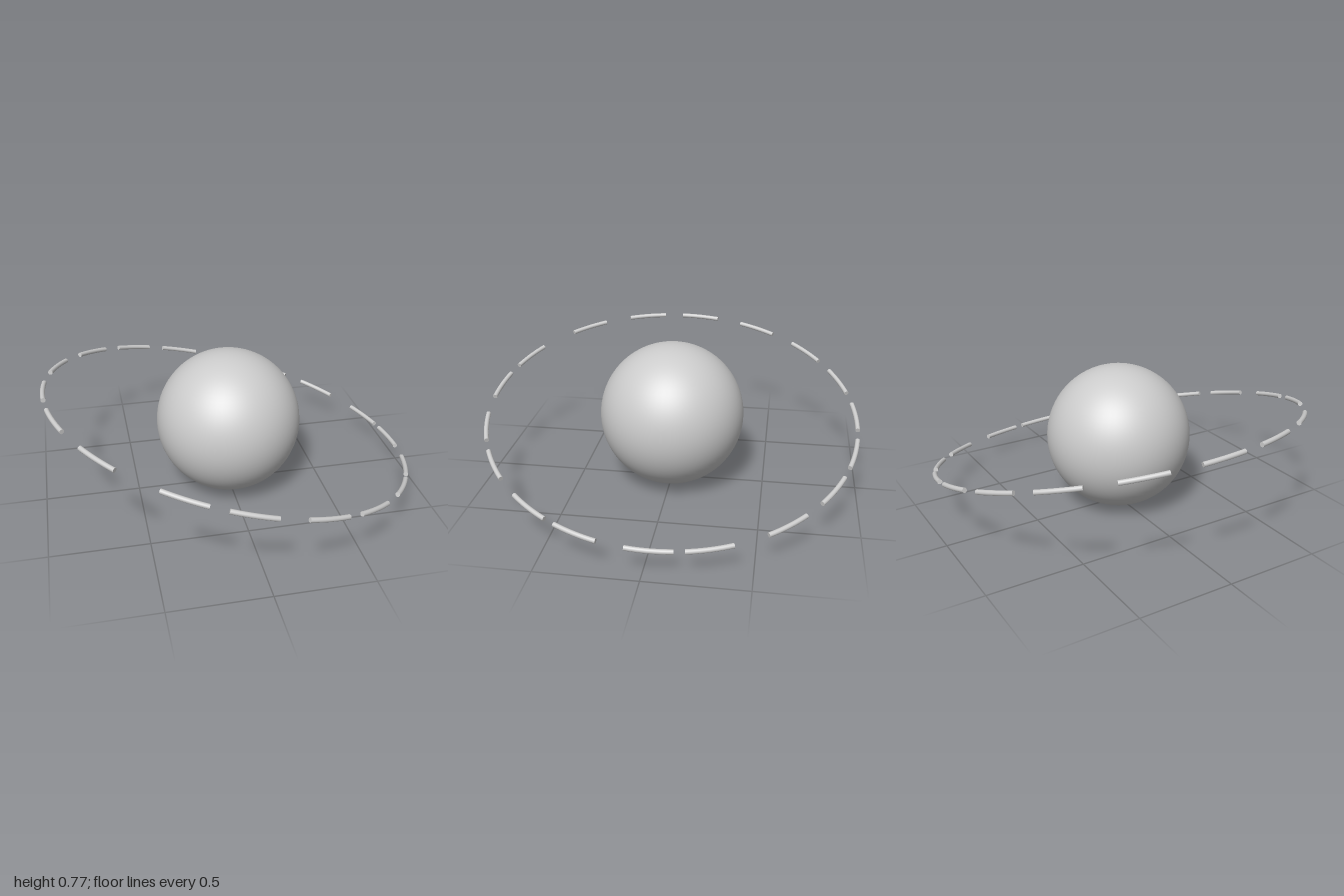
import * as THREE from 'three';

const SPHERE_R = 0.383, RING_R = 0.986, TUBE_R = 0.0125;
const DASH = THREE.MathUtils.degToRad(13.05);
// Start angle of each dash in degrees, from +x towards +z
const STARTS = [-9.1, 11.7, 28.1, 49.2, 67.3, 88.9, 107, 133.5, 155.8,
  175.2, 197, 218.7, 237.9, 256.6, 274.4, 292.1, 311.8, 334.9];

export function createModel() {
  const model = new THREE.Group();
  model.name = 'ringedSphere';
  const material = new THREE.MeshStandardMaterial({ color: 0xcccccc });

  // Central sphere
  const sphere = new THREE.Mesh(new THREE.SphereGeometry(SPHERE_R, 64, 40), material);
  sphere.name = 'sphere';
  sphere.position.y = 0.385;
  model.add(sphere);

  // Tilted ring of separate curved rods
  const ring = new THREE.Group();
  ring.name = 'dashedRing';
  ring.position.y = 0.385;
  ring.rotation.set(-0.045, 0, -0.255);
  model.add(ring);

  const arc = new THREE.TorusGeometry(RING_R, TUBE_R, 12, 8, DASH);
  const cap = new THREE.CircleGeometry(TUBE_R, 12);
  STARTS.forEach((deg, i) => {
    const dash = new THREE.Group();
    dash.name = `dash${i + 1}`;
    const rod = new THREE.Mesh(arc, material);
    rod.name = 'rod';
    dash.add(rod);
    // Flat caps close both ends of the rod
    for (const [name, angle, turn] of [['startCap', 0, Math.PI / 2], ['endCap', DASH, -Math.PI / 2]]) {
      const end = new THREE.Group();
      end.name = name;
      end.rotation.z = angle;
      const disc = new THREE.Mesh(cap, material);
      disc.name = name + 'Disc';
      disc.position.x = RING_R;
      disc.rotation.x = turn;
      end.add(disc);
      dash.add(end);
    }
    // Lay the arc flat, then spin it to its place
    dash.rotation.order = 'YXZ';
    dash.rotation.set(Math.PI / 2, -THREE.MathUtils.degToRad(deg), 0);
    ring.add(dash);
  });
  return model;
}
